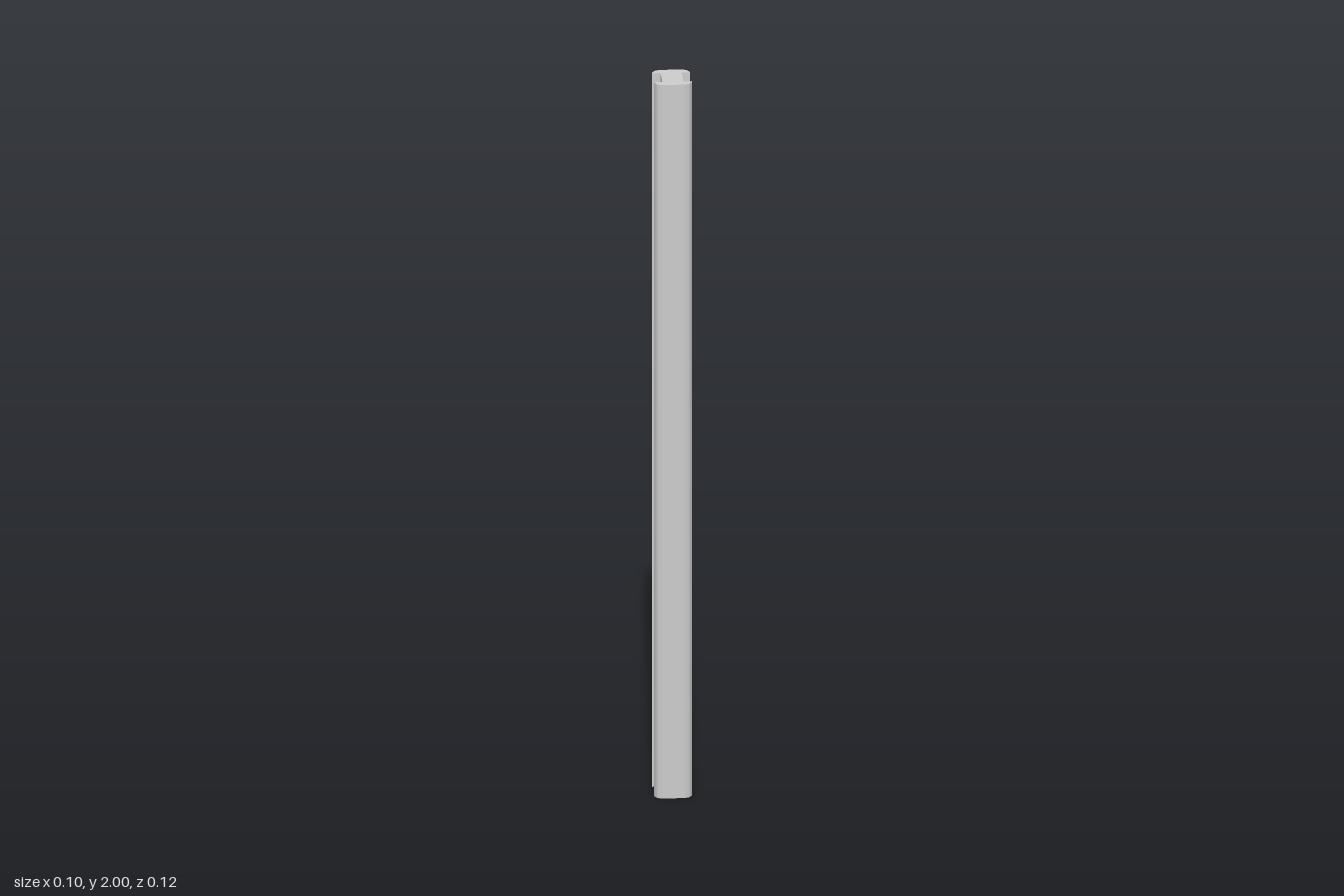
import * as THREE from 'three';
import { toCreasedNormals } from 'three/addons/utils/BufferGeometryUtils.js';

const HEIGHT = 2, HALF_W = 0.05, HALF_D = 0.06, WEB = 0.028, LIP = 0.035, R = 0.025;

// I-shaped cross-section with rounded outer flange corners
function profile() {
  const s = new THREE.Shape();
  s.moveTo(WEB, -LIP);
  s.lineTo(WEB, LIP);
  s.lineTo(HALF_W, LIP);
  s.absarc(HALF_W - R, HALF_D - R, R, 0, Math.PI / 2, false);
  s.absarc(-HALF_W + R, HALF_D - R, R, Math.PI / 2, Math.PI, false);
  s.lineTo(-WEB, LIP);
  s.lineTo(-WEB, -LIP);
  s.lineTo(-HALF_W, -LIP);
  s.absarc(-HALF_W + R, -HALF_D + R, R, Math.PI, Math.PI * 1.5, false);
  s.absarc(HALF_W - R, -HALF_D + R, R, Math.PI * 1.5, Math.PI * 2, false);
  s.closePath();
  return s;
}

export function createModel() {
  const group = new THREE.Group();
  const material = new THREE.MeshStandardMaterial({ color: 0xcccccc });

  // Beam, extruded upright
  const beamGeo = new THREE.ExtrudeGeometry(profile(), { depth: HEIGHT, bevelEnabled: false, curveSegments: 10 });
  beamGeo.rotateX(-Math.PI / 2);
  const beam = new THREE.Mesh(toCreasedNormals(beamGeo, 0.6), material);
  beam.name = 'beam';
  group.add(beam);

  // Rivets: two columns on each side of the web
  const rivetGeo = toCreasedNormals(new THREE.LatheGeometry([
    new THREE.Vector2(0.0045, -0.001),
    new THREE.Vector2(0.0045, 0.0025),
    new THREE.Vector2(0.003, 0.004),
    new THREE.Vector2(0, 0.004),
  ], 10), 0.6);
  const rivets = new THREE.Group();
  rivets.name = 'rivets';
  for (const side of [-1, 1]) {
    for (const z of [-0.0225, 0.0225]) {
      for (let i = 0; i < 20; i++) {
        const rivet = new THREE.Mesh(rivetGeo, material);
        rivet.name = 'rivet';
        rivet.rotation.z = -side * Math.PI / 2;
        rivet.position.set(side * WEB, 0.056 + i * 0.1, z);
        rivets.add(rivet);
      }
    }
  }
  group.add(rivets);
  return group;
}
